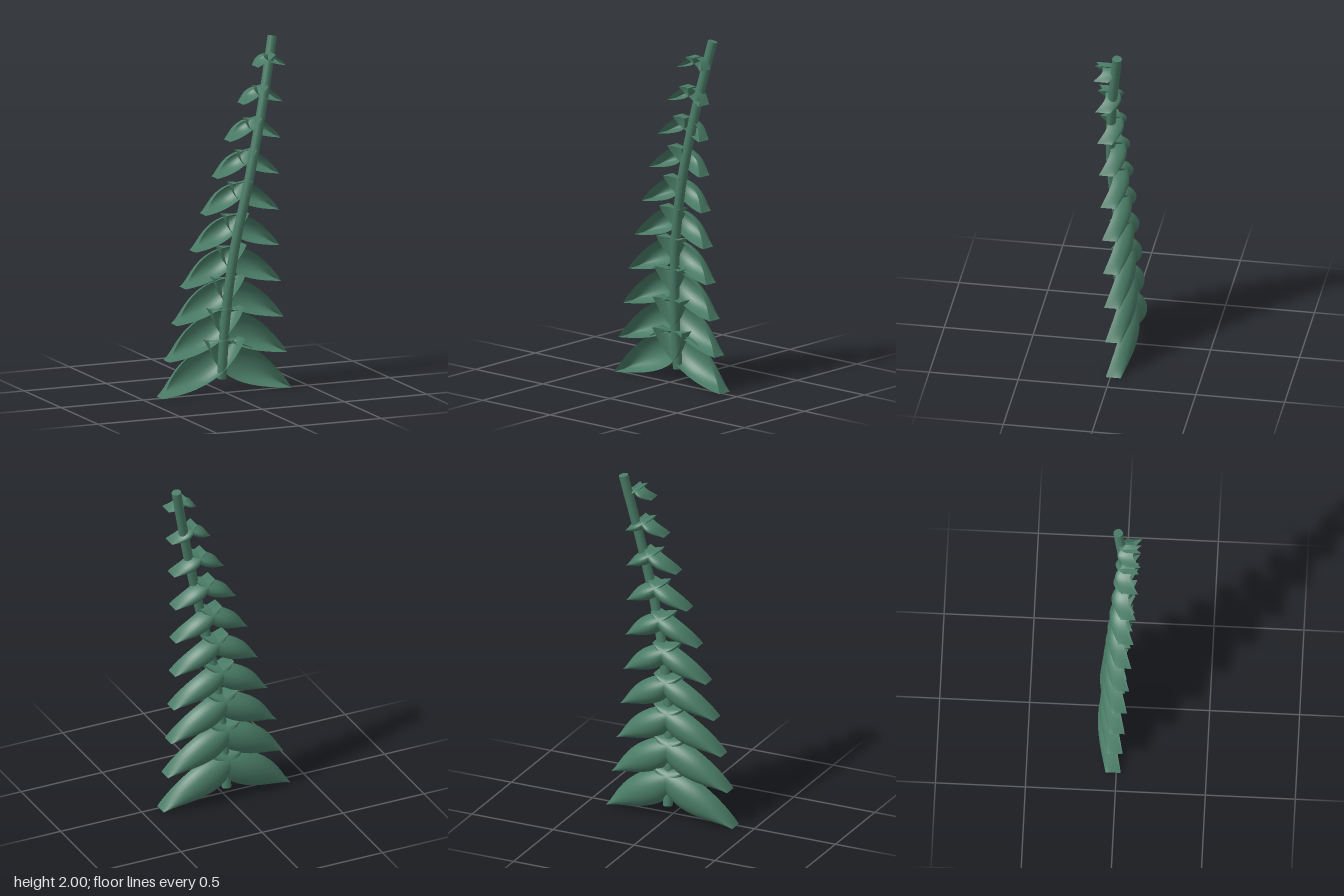
import * as THREE from 'three';

const green = new THREE.MeshStandardMaterial({ color: 0x4a7c67, side: THREE.DoubleSide });
const v2 = (x, y) => new THREE.Vector2(x, y);

// Drooping cupped leaf: a half-elliptical shell open to the front, pinched to an
// edge at root and tip, and bowed backwards along its length
function leafGeometry(bow) {
  const root = v2(-0.11, 0.3), tip = v2(0.392, 0);
  const upper = new THREE.QuadraticBezierCurve(root, v2(0.23, 0.305), tip);
  const lower = new THREE.CubicBezierCurve(root, v2(-0.04, 0.08), v2(0.1, 0.01), tip);
  const geo = new THREE.PlaneGeometry(1, 1, 24, 14);
  const pos = geo.attributes.position;
  for (let i = 0; i < pos.count; i++) {
    const t = pos.getX(i) + 0.5;
    const angle = (pos.getY(i) + 0.5) * Math.PI;
    const p = lower.getPoint(t).lerp(upper.getPoint(t), (1 - Math.cos(angle)) / 2);
    const z = 0.025 - 0.085 * Math.sin(angle) - bow * Math.sin(Math.PI * t);
    pos.setXYZ(i, p.x, p.y, z);
  }
  geo.computeVertexNormals();
  return geo;
}

// Leaning stem with closed ends
function buildStem() {
  const path = new THREE.CatmullRomCurve3([
    [0.005, 0.07, -0.06], [0.012, 0.4, -0.027], [0.05, 0.8, 0.01],
    [0.127, 1.2, 0.038], [0.213, 1.6, 0.022], [0.297, 1.995, -0.023],
  ].map((p) => new THREE.Vector3(...p)));
  const radius = 0.027;
  const stem = new THREE.Group();
  stem.name = 'stem';
  const tube = new THREE.Mesh(new THREE.TubeGeometry(path, 40, radius, 16), green);
  tube.name = 'stemTube';
  stem.add(tube);
  for (const t of [0, 1]) {
    const cap = new THREE.Mesh(new THREE.CircleGeometry(radius, 16), green);
    cap.name = t ? 'stemTopCap' : 'stemBottomCap';
    const dir = path.getTangentAt(t).multiplyScalar(t ? 1 : -1);
    cap.quaternion.setFromUnitVectors(new THREE.Vector3(0, 0, 1), dir);
    cap.position.copy(path.getPointAt(t));
    stem.add(cap);
  }
  return stem;
}

export function createModel() {
  const model = new THREE.Group();
  model.name = 'plant';
  model.add(buildStem());

  // Ten leaf pairs, shrinking and drifting sideways towards the top
  const levels = 10;
  for (let i = 0; i < levels; i++) {
    const size = 1 - 0.087 * i;
    const geo = leafGeometry(0.055 - 0.0008 * i);
    const pair = new THREE.Group();
    pair.name = `leafPair${i + 1}`;
    pair.position.set(0.0029 * i * i, 0.2055 * i, 0.0094 * i);
    for (const side of [1, -1]) {
      const leaf = new THREE.Mesh(geo, green);
      leaf.name = side > 0 ? 'leftLeaf' : 'rightLeaf';
      leaf.scale.set(side * size, size, 1);
      pair.add(leaf);
    }
    model.add(pair);
  }
  return model;
}
